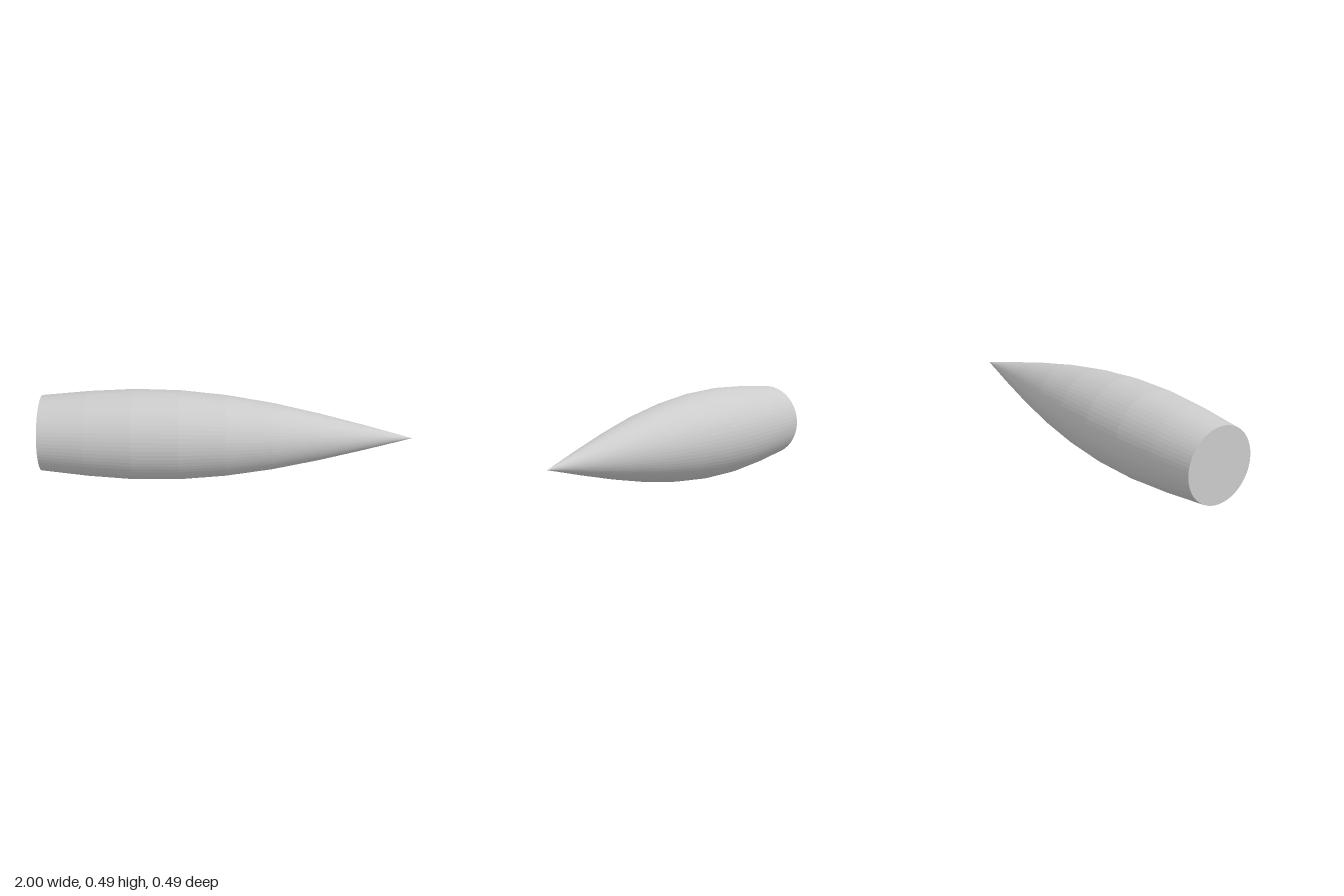
import * as THREE from 'three';

export function createModel() {
  const group = new THREE.Group();
  const material = new THREE.MeshStandardMaterial({ color: 0xcccccc, flatShading: true });

  // Radii at even stations from the blunt base to the pointed tip
  const radii = [0.205, 0.23, 0.245, 0.241, 0.218, 0.179, 0.126, 0.065, 0];
  const profile = radii.map((r, i) => new THREE.Vector2(r, -1 + i * 0.25));
  profile.unshift(new THREE.Vector2(0, -1)); // closes the flat base

  // Tapered body lying along x, tip towards +x
  const geometry = new THREE.LatheGeometry(profile, 64);
  geometry.rotateZ(-Math.PI / 2);
  const body = new THREE.Mesh(geometry, material);
  body.name = 'taperedBody';
  body.position.y = 0.245;
  group.add(body);

  return group;
}
